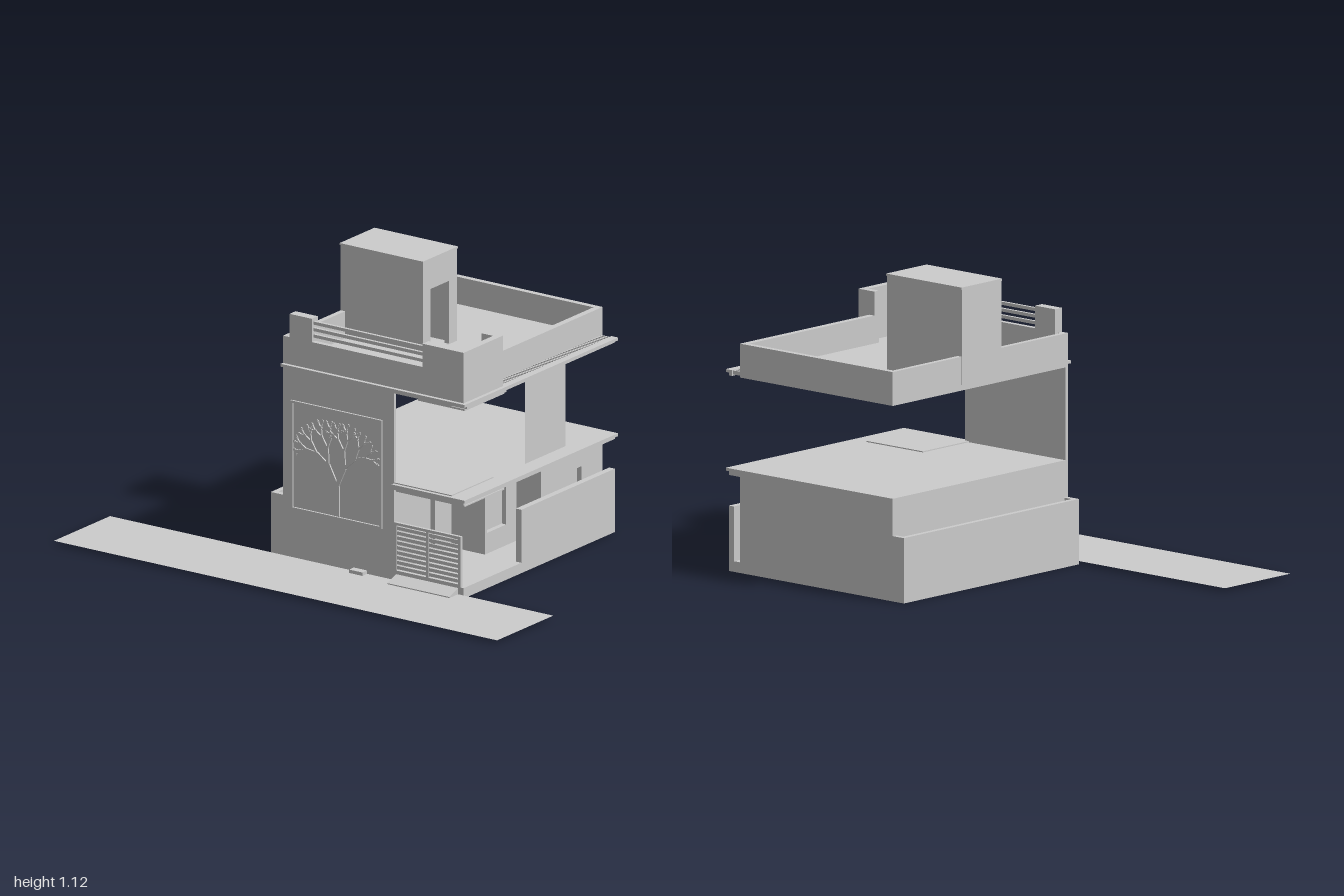
import * as THREE from 'three';

const grey = new THREE.MeshStandardMaterial({ color: 0xcccccc, flatShading: true });
const greyThin = new THREE.MeshStandardMaterial({ color: 0xcccccc, side: THREE.DoubleSide });

export function createModel() {
  const model = new THREE.Group();

  const add = (name, geometry, parent = model, material = grey) => {
    const mesh = new THREE.Mesh(geometry, material);
    mesh.name = name;
    parent.add(mesh);
    return mesh;
  };
  const group = (name) => {
    const g = new THREE.Group();
    g.name = name;
    model.add(g);
    return g;
  };
  // Box given by its extents on each axis
  const box = (name, x0, x1, y0, y1, z0, z1, parent) => {
    const m = add(name, new THREE.BoxGeometry(x1 - x0, y1 - y0, z1 - z0), parent);
    m.position.set((x0 + x1) / 2, (y0 + y1) / 2, (z0 + z1) / 2);
    return m;
  };
  const rect = (Type, x0, x1, y0, y1) => {
    const p = new Type();
    p.moveTo(x0, y0);
    p.lineTo(x1, y0);
    p.lineTo(x1, y1);
    p.lineTo(x0, y1);
    p.closePath();
    return p;
  };
  // Front-facing wall skin with rectangular openings, ending at zFront
  const wallWithOpenings = (name, [x0, x1, y0, y1], zFront, depth, openings, parent) => {
    const shape = rect(THREE.Shape, x0, x1, y0, y1);
    openings.forEach((o) => shape.holes.push(rect(THREE.Path, ...o)));
    const m = add(name, new THREE.ExtrudeGeometry(shape, { depth, bevelEnabled: false }), parent);
    m.position.z = zFront - depth;
  };

  // Street beside the house
  const road = add('road', new THREE.PlaneGeometry(0.355, 2).rotateX(-Math.PI / 2), model, greyThin);
  road.position.set(-0.4775, 0.012, 0);

  // Ramp at the gate
  const rampShape = new THREE.Shape([[-0.355, 0.008], [-0.3, 0.008], [-0.3, 0.036], [-0.355, 0.016]]
    .map(([x, y]) => new THREE.Vector2(x, y)));
  const ramp = add('gateRamp', new THREE.ExtrudeGeometry(rampShape, { depth: 0.28, bevelEnabled: false }));
  ramp.position.z = 0.29;
  box('sideStep', -0.33, -0.3, 0.008, 0.025, 0.1, 0.16);

  // Plinth and boundary walls
  box('base', -0.3, 0.655, 0, 0.02, -0.275, 0.595);
  box('porchFloor', -0.3, 0.655, 0.02, 0.04, 0.28, 0.595);
  const boundary = group('boundaryWall');
  box('backWall', -0.3, 0.655, 0.02, 0.245, -0.275, -0.255, boundary);
  box('frontWall', 0.065, 0.655, 0.04, 0.245, 0.57, 0.595, boundary);
  box('backCornerRight', -0.3, -0.28, 0.02, 0.245, -0.255, -0.22, boundary);
  box('backCornerLeft', 0.635, 0.655, 0.02, 0.245, -0.255, -0.22, boundary);

  // Ground floor, stepping forward in three bays
  const ground = group('groundFloor');
  const bays = [
    [-0.3, 0.065, 0.28, [[-0.18, -0.04, 0.07, 0.28]]],
    [0.065, 0.265, 0.43, [[0.08, 0.2, 0.12, 0.28]]],
    [0.265, 0.655, 0.54, [[0.38, 0.52, 0.12, 0.28]]],
  ];
  for (const [x0, x1, z, openings] of bays) {
    box('bay', x0, x1, 0.02, 0.36, -0.22, z - 0.02, ground);
    wallWithOpenings('bayFront', [x0, x1, 0.02, 0.36], z, 0.02, openings, ground);
  }

  // Floor slab with a stepped edge and projecting canopy
  const slab = group('floorSlab');
  box('slabLower', -0.3, 0.655, 0.36, 0.374, -0.22, 0.595, slab);
  box('slabUpper', -0.3, 0.655, 0.374, 0.385, -0.22, 0.28, slab);
  box('canopy', -0.315, 0.655, 0.374, 0.385, 0.28, 0.61, slab);
  box('balconyTiles', -0.3, -0.035, 0.385, 0.389, 0.26, 0.54, slab);
  box('porchSoffit', -0.3, -0.05, 0.355, 0.36, 0.29, 0.6, slab);

  // Upper storey: side wall and front wall panel
  box('sideWall', -0.3, -0.285, 0.385, 0.735, -0.22, 0.28);
  const panel = add('frontPanel', new THREE.PlaneGeometry(0.255, 0.35));
  panel.position.set(0.2925, 0.56, 0.54);

  // Tree relief in a frame on the side wall
  const relief = group('treeRelief');
  const [fy0, fy1, fz0, fz1, t] = [0.2, 0.62, -0.18, 0.23, 0.008];
  box('frameBottom', -0.308, -0.3, fy0, fy0 + t, fz0, fz1, relief);
  box('frameTop', -0.308, -0.3, fy1 - t, fy1, fz0, fz1, relief);
  for (const z of [fz0, fz1 - t]) box('frameSide', -0.308, -0.3, fy0, fy1, z, z + t, relief);
  const leaf = new THREE.CylinderGeometry(0.009, 0.009, 0.004, 6).rotateZ(Math.PI / 2).scale(1, 1, 0.6);
  const branch = (y, z, angle, length, width, level) => {
    const dy = Math.cos(angle) * length, dz = Math.sin(angle) * length;
    const m = add('branch', new THREE.BoxGeometry(0.006, length, width), relief);
    m.position.set(-0.303, y + dy / 2, z + dz / 2);
    m.rotation.x = angle;
    if (level > 3) {
      const l = add('leaf', leaf, relief);
      l.position.set(-0.303, y + dy, z + dz);
      l.rotation.x = angle;
    }
    if (level === 5) return;
    for (const turn of [-0.48, 0.42]) {
      branch(y + dy, z + dz, angle + turn, length * 0.74, width * 0.66, level + 1);
    }
  };
  branch(0.21, 0.025, 0, 0.115, 0.026, 0);

  // Slatted gate
  const gate = group('gate');
  for (const z of [0.28, 0.425, 0.57]) box('gatePost', -0.3, -0.288, 0.04, 0.235, z, z + 0.012, gate);
  for (const y of [0.04, 0.225]) box('gateRail', -0.3, -0.288, y, y + 0.01, 0.28, 0.58, gate);
  for (let i = 0; i < 9; i++) {
    const y = 0.055 + i * 0.019;
    box('gateSlat', -0.297, -0.291, y, y + 0.013, 0.29, 0.572, gate);
  }

  // Roof slab with a slatted strip along the front
  const roof = group('roofSlab');
  box('roofDeck', -0.3, 0.655, 0.733, 0.755, -0.22, 0.54, roof);
  box('roofLedge', -0.315, -0.3, 0.744, 0.755, -0.22, 0.61, roof);
  box('roofCorner', -0.3, -0.05, 0.735, 0.755, 0.54, 0.61, roof);
  box('eavesUpper', -0.05, 0.655, 0.744, 0.755, 0.58, 0.61, roof);
  box('eavesLower', -0.05, 0.655, 0.733, 0.744, 0.58, 0.595, roof);
  box('roofSoffit', -0.3, -0.05, 0.726, 0.733, 0.39, 0.6, roof);
  for (let i = 0; i < 45; i++) {
    const x = -0.05 + i * 0.0157;
    box('slat', x, x + 0.008, 0.738, 0.753, 0.54, 0.58, roof);
  }

  // Parapet
  const parapet = group('parapet');
  box('parapetBack', -0.3, 0.655, 0.755, 0.86, -0.22, -0.2, parapet);
  box('parapetLeft', 0.632, 0.655, 0.755, 0.86, -0.2, 0.54, parapet);
  box('parapetFront', -0.075, 0.632, 0.755, 0.86, 0.515, 0.54, parapet);
  box('parapetRight', -0.3, -0.28, 0.755, 0.86, -0.2, 0.41, parapet);
  box('tallFront', -0.3, -0.05, 0.755, 0.95, 0.567, 0.595, parapet);
  box('tallReturn', -0.075, -0.05, 0.755, 0.95, 0.515, 0.567, parapet);
  box('tallSide', -0.3, -0.262, 0.755, 0.95, 0.41, 0.567, parapet);
  box('tallPier', -0.3, -0.262, 0.755, 0.95, -0.19, -0.09, parapet);
  for (const y of [0.875, 0.9, 0.925]) {
    box('railing', -0.29, -0.278, y, y + 0.012, -0.09, 0.41, parapet);
  }

  // Hollow stair tower with a doorway
  const tower = group('stairTower');
  wallWithOpenings('towerFront', [0.065, 0.28, 0.755, 1.112], 0.15, 0.02, [[0.115, 0.23, 0.757, 1.0]], tower);
  box('towerBack', 0.065, 0.28, 0.755, 1.112, -0.221, -0.2, tower);
  box('towerRight', 0.065, 0.085, 0.755, 1.112, -0.2, 0.13, tower);
  box('towerLeft', 0.26, 0.28, 0.755, 1.112, -0.2, 0.13, tower);
  box('towerRoof', 0.062, 0.283, 1.112, 1.12, -0.223, 0.153, tower);

  return model;
}
